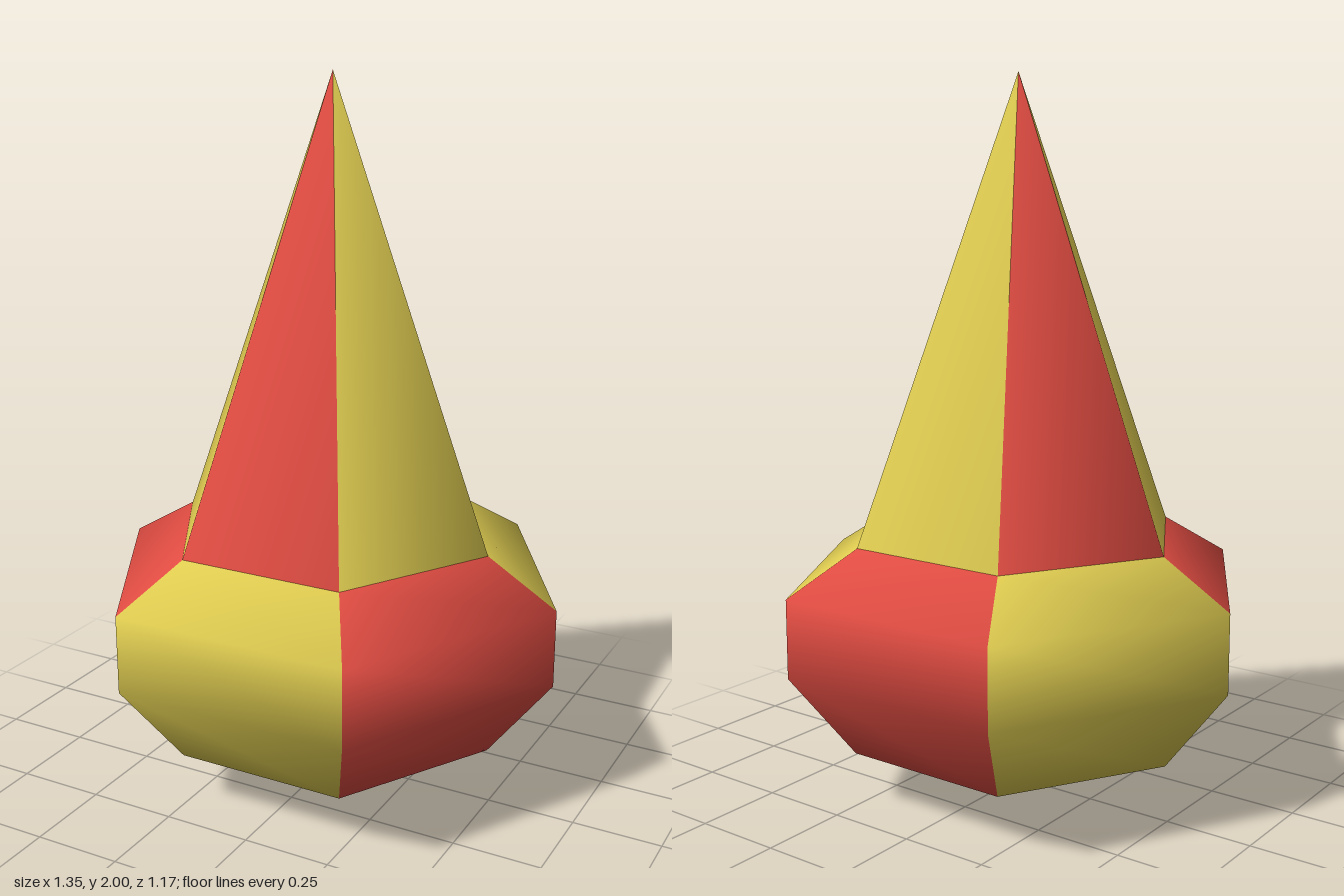
import * as THREE from 'three';

// Six-sided turned shape whose panels alternate between two colours
function panelledLathe(name, profile, materials) {
  const points = profile.map(([r, y]) => new THREE.Vector2(r, y));
  const sides = 6;
  const geometry = new THREE.LatheGeometry(points, sides, Math.PI / 2);
  const perPanel = (points.length - 1) * 6;
  for (let i = 0; i < sides; i++) geometry.addGroup(i * perPanel, perPanel, i % 2);
  const mesh = new THREE.Mesh(geometry, materials);
  mesh.name = name;
  return mesh;
}

export function createModel() {
  const red = new THREE.MeshStandardMaterial({ color: 0xe04c42 });
  red.name = 'red';
  const yellow = new THREE.MeshStandardMaterial({ color: 0xdecb50 });
  yellow.name = 'yellow';

  const model = new THREE.Group();
  model.name = 'spinningTop';

  // Faceted bulb tapering to a point on the ground
  model.add(panelledLathe('bulb', [
    [0, 0], [0.49, 0.155], [0.675, 0.395], [0.675, 0.615], [0.475, 0.735],
  ], [yellow, red]));

  // Tall pointed cone with the panel colours swapped
  model.add(panelledLathe('cone', [[0.475, 0.735], [0, 2]], [red, yellow]));

  return model;
}
